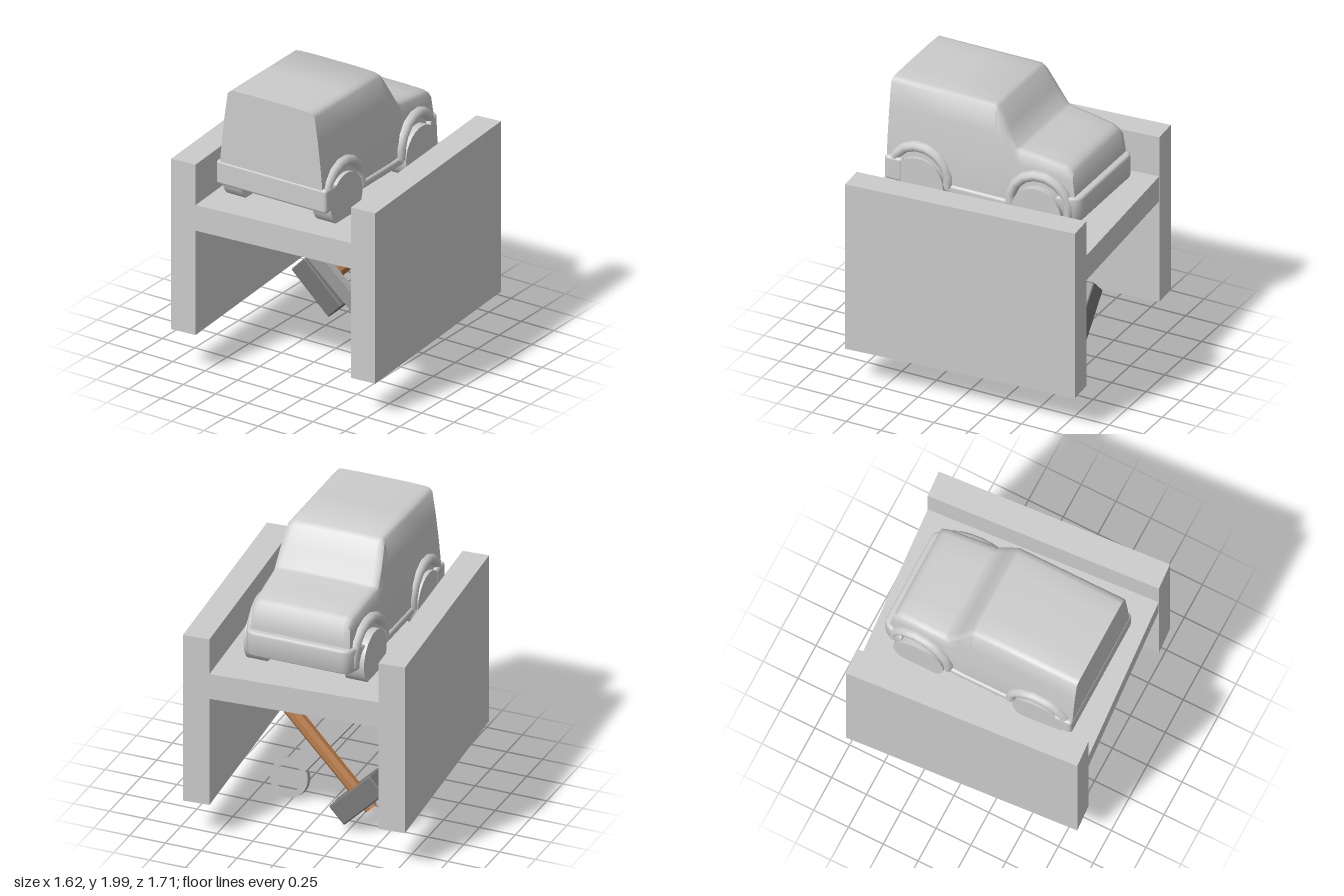
import * as THREE from 'three';
import { toCreasedNormals } from 'three/addons/utils/BufferGeometryUtils.js';
import { RoundedBoxGeometry } from 'three/addons/geometries/RoundedBoxGeometry.js';

const grey = new THREE.MeshStandardMaterial({ color: 0xcccccc });
const toolGrey = new THREE.MeshStandardMaterial({ color: 0xb0b0b0 });
const darkGrey = new THREE.MeshStandardMaterial({ color: 0x787878 });
const wood = new THREE.MeshStandardMaterial({ color: 0xb87c4a });

function add(parent, name, geometry, material, x = 0, y = 0, z = 0) {
  const mesh = new THREE.Mesh(geometry, material);
  mesh.name = name;
  mesh.position.set(x, y, z);
  parent.add(mesh);
  return mesh;
}

function group(parent, name, x = 0, y = 0, z = 0) {
  const g = new THREE.Group();
  g.name = name;
  g.position.set(x, y, z);
  parent.add(g);
  return g;
}

// Skins a row of closed rings (counter-clockwise seen from +z, running towards -z)
function loft(rings) {
  const n = rings[0].length, index = [];
  for (let i = 0; i < rings.length - 1; i++) {
    for (let j = 0; j < n; j++) {
      const a = i * n + j, b = i * n + (j + 1) % n;
      index.push(a, a + n, b, b, a + n, b + n);
    }
  }
  const last = (rings.length - 1) * n;
  for (let j = 1; j < n - 1; j++) index.push(0, j, j + 1, last, last + j + 1, last + j);
  const geo = new THREE.BufferGeometry();
  geo.setAttribute('position', new THREE.Float32BufferAttribute(rings.flat(2), 3));
  geo.setIndex(index);
  return toCreasedNormals(geo, 0.75);
}

// Two uneven walls joined by a platform
function buildLift(parent) {
  const lift = group(parent, 'liftFrame');
  lift.rotation.y = 0.073;
  add(lift, 'rightWall', new THREE.BoxGeometry(0.18, 1.2, 1.605), grey, -0.662, 0.887, 0);
  add(lift, 'leftWall', new THREE.BoxGeometry(0.18, 1.2, 1.605), grey, 0.662, 0.853, 0);
  add(lift, 'platform', new THREE.BoxGeometry(1.146, 0.18, 1.603), grey, 0, 1.112, 0);
}

// Half width of the car body at a given height
function bodyWidth(y) {
  const t = Math.max(0, (y - 1.47) / 0.5);
  return 0.395 - 0.04 * t - 0.02 * t * t;
}

function bodySection([z, top, k]) {
  const side = [1.32, 1.47, 1.47 + (top - 1.5) * 0.33, 1.47 + (top - 1.5) * 0.67, top - 0.03]
    .map((y) => [bodyWidth(y) * k, y]);
  const w = bodyWidth(top) * k;
  side.push([w - 0.014, top - 0.01], [w - 0.045, top - 0.003], [w * 0.5, top + 0.001]);
  const right = side.map(([x, y]) => [x, y, z]);
  const left = side.map(([x, y]) => [-x, y, z]).reverse();
  return [...right, ...left];
}

function buildCar(parent) {
  const car = group(parent, 'car', -0.035, 0, 0);

  // Body shell: z, top height, width factor from tail to nose
  const stations = [
    [0.685, 1.997, 1], [0.3, 1.997, 1], [-0.06, 1.997, 1], [-0.085, 1.975, 1],
    [-0.16, 1.85, 0.99], [-0.235, 1.735, 0.97], [-0.26, 1.727, 0.965],
    [-0.42, 1.705, 0.94], [-0.575, 1.68, 0.91], [-0.605, 1.665, 0.9],
    [-0.632, 1.64, 0.89], [-0.65, 1.51, 0.88],
  ];
  add(car, 'body', loft(stations.map(bodySection)), grey);

  // Bumpers
  add(car, 'rearBumper', new RoundedBoxGeometry(0.85, 0.17, 0.13, 3, 0.022), grey, 0, 1.393, 0.625);
  const plan = new THREE.Shape();
  plan.moveTo(-0.385, 0.55);
  plan.lineTo(0.385, 0.55);
  plan.lineTo(0.36, 0.63);
  plan.quadraticCurveTo(0.345, 0.68, 0.3, 0.68);
  plan.lineTo(-0.3, 0.68);
  plan.quadraticCurveTo(-0.345, 0.68, -0.36, 0.63);
  const bumper = new THREE.ExtrudeGeometry(plan, {
    depth: 0.13, bevelEnabled: true, bevelSize: 0.015, bevelThickness: 0.02, bevelSegments: 3, curveSegments: 6,
  });
  bumper.rotateX(-Math.PI / 2);
  add(car, 'frontBumper', toCreasedNormals(bumper, 0.7), grey, 0, 1.33, 0);

  // Sills, wheels and wheel arches on both sides
  const wheelGeo = new THREE.CylinderGeometry(0.18, 0.18, 0.145, 28).rotateZ(Math.PI / 2);
  const archGeo = new THREE.TorusGeometry(0.205, 0.036, 10, 9, Math.PI * 1.1)
    .rotateZ(-Math.PI * 0.05).rotateY(Math.PI / 2).scale(1.2, 1, 1);
  for (const s of [1, -1]) {
    const sideName = s > 0 ? 'left' : 'right';
    add(car, sideName + 'Sill', new RoundedBoxGeometry(0.06, 0.06, 0.48, 2, 0.02), grey, s * 0.38, 1.34, 0.01);
    for (const [end, z, archX, yaw] of [['Rear', 0.445, 0.381, 0], ['Front', -0.41, 0.365, -0.08]]) {
      add(car, sideName + end + 'Wheel', wheelGeo, grey, s * 0.347, 1.33, z);
      const arch = add(car, sideName + end + 'Arch', archGeo, grey, s * archX, 1.378, z);
      arch.rotation.y = -s * yaw;
    }
  }
}

// Spanner: ring end, tapered shaft and open jaw cut from one plate
function buildSpanner(parent) {
  const cx = 0.28, cy = 0.135, tilt = 0.28;
  const spanner = group(parent, 'spanner', cx, cy, -0.09);
  spanner.rotation.x = tilt;
  const outline = [
    [0.175, 0.19], [-0.26, 0.735], [-0.31, 0.755], [-0.38, 0.805], [-0.41, 0.84], [-0.42, 0.89],
    [-0.397, 0.985], [-0.36, 1.005], [-0.355, 0.905], [-0.295, 0.865], [-0.24, 0.905],
    [-0.24, 0.99], [-0.195, 0.97], [-0.16, 0.88], [-0.165, 0.8], [0.275, 0.262],
  ].map(([x, y]) => [x - cx, (y - cy) / Math.cos(tilt)]);
  const shape = new THREE.Shape();
  shape.moveTo(...outline[0]);
  outline.slice(1).forEach((p) => shape.lineTo(...p));
  shape.absarc(0, 0, 0.131, Math.PI * 0.51, Math.PI * 0.845, true);
  const hole = new THREE.Path();
  hole.absarc(0, 0, 0.092, 0, Math.PI * 2, true);
  shape.holes.push(hole);
  const geo = new THREE.ExtrudeGeometry(shape, { depth: 0.044, bevelEnabled: false, curveSegments: 28 });
  geo.translate(0, 0, -0.022);
  add(spanner, 'spannerBody', toCreasedNormals(geo, 0.5), toolGrey);
}

// Hammer lying diagonally behind the spanner
function buildHammer(parent) {
  const hammer = group(parent, 'hammer', -0.325, 0.25, -0.335);
  hammer.rotation.set(0.06, 0, -0.782);
  add(hammer, 'hammerHead', new RoundedBoxGeometry(0.39, 0.155, 0.165, 2, 0.012), darkGrey);
  const handleGeo = new THREE.LatheGeometry(
    [[0, -0.1], [0.046, -0.1], [0.049, 0.985], [0.04, 1.0], [0, 1.0]].map((p) => new THREE.Vector2(...p)), 8,
  ).rotateY(Math.PI / 8);
  add(hammer, 'hammerHandle', toCreasedNormals(handleGeo, 0.3), wood);
}

export function createModel() {
  const model = new THREE.Group();
  model.name = 'carLiftWithTools';
  buildLift(model);
  buildCar(model);
  buildSpanner(model);
  buildHammer(model);
  return model;
}
